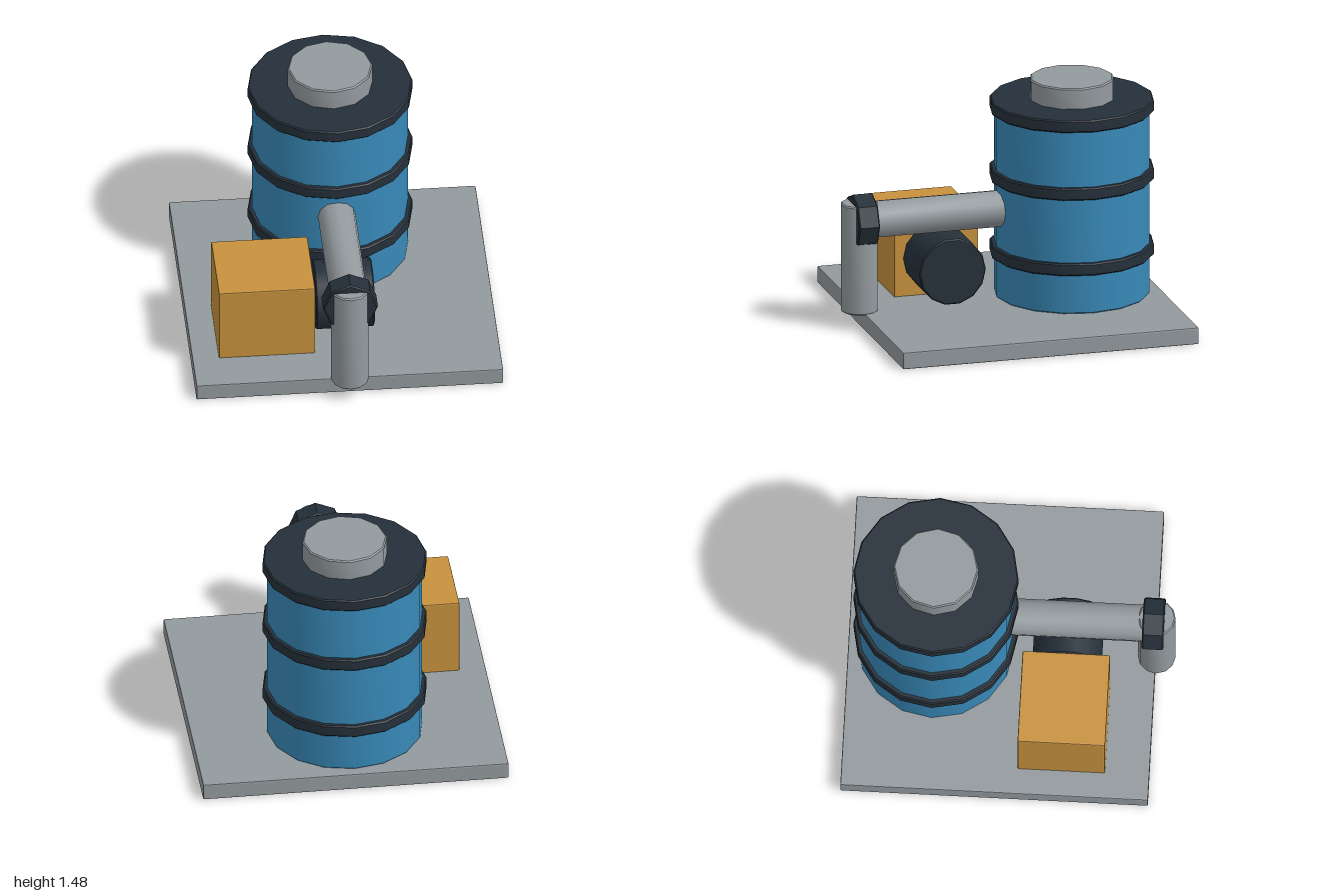
import * as THREE from 'three';
import { toCreasedNormals } from 'three/addons/utils/BufferGeometryUtils.js';
import { RoundedBoxGeometry } from 'three/addons/geometries/RoundedBoxGeometry.js';

export function createModel() {
  const group = new THREE.Group();
  const paint = (name, color) => {
    const m = new THREE.MeshStandardMaterial({ color });
    m.name = name;
    return m;
  };
  const steel = paint('steel grey', 0x939a9e);
  const blue = paint('tank blue', 0x3889b8);
  const dark = paint('dark rubber', 0x25303a);
  const ochre = paint('cabinet ochre', 0xc8923e);

  const add = (name, geometry, material, x, y, z) => {
    const mesh = new THREE.Mesh(geometry, material);
    mesh.name = name;
    mesh.position.set(x, y, z);
    group.add(mesh);
    return mesh;
  };

  // Capped cylinder along y with a small chamfer on both rims
  const drum = (r, h, sides, bevel = 0.008) => {
    const profile = [
      [0, -h / 2], [r - bevel, -h / 2], [r, -h / 2 + bevel],
      [r, h / 2 - bevel], [r - bevel, h / 2], [0, h / 2],
    ].map(([x, y]) => new THREE.Vector2(x, y));
    return toCreasedNormals(new THREE.LatheGeometry(profile, sides), 0.7);
  };

  const slab = (w, h, d) => toCreasedNormals(new RoundedBoxGeometry(w, h, d, 1, 0.008), 0.3);

  // Base plate
  add('basePlate', slab(1.88, 0.106, 1.88), steel, 0, 0.053, -0.06);

  // Tank with two hoops, a rim and a lid
  const tankZ = -0.465;
  add('tank', drum(0.477, 1.19, 16), blue, 0, 0.7, tankZ);
  [0.393, 0.875, 1.308].forEach((y, i) => {
    add(i < 2 ? 'tankHoop' : 'tankRim', drum(0.505, 0.077, 16), dark, 0, y, tankZ);
  });
  add('tankLid', drum(0.26, 0.14, 12), steel, 0, 1.407, tankZ);

  // Outlet pipe, downpipe and the collar joining them
  add('outletPipe', drum(0.115, 0.9, 12), steel, 0, 0.675, 0.425).rotation.x = Math.PI / 2;
  add('downPipe', drum(0.115, 0.69, 12), steel, 0, 0.445, 0.885);
  add('pipeCollar', drum(0.168, 0.132, 8), dark, 0, 0.675, 0.866).rotation.x = Math.PI / 2;

  // Motor drum and its cabinet
  add('motor', drum(0.212, 0.36, 14), dark, 0.005, 0.353, 0.345).rotation.z = Math.PI / 2;
  add('cabinet', slab(0.59, 0.495, 0.535), ochre, -0.483, 0.348, 0.342);

  return group;
}
